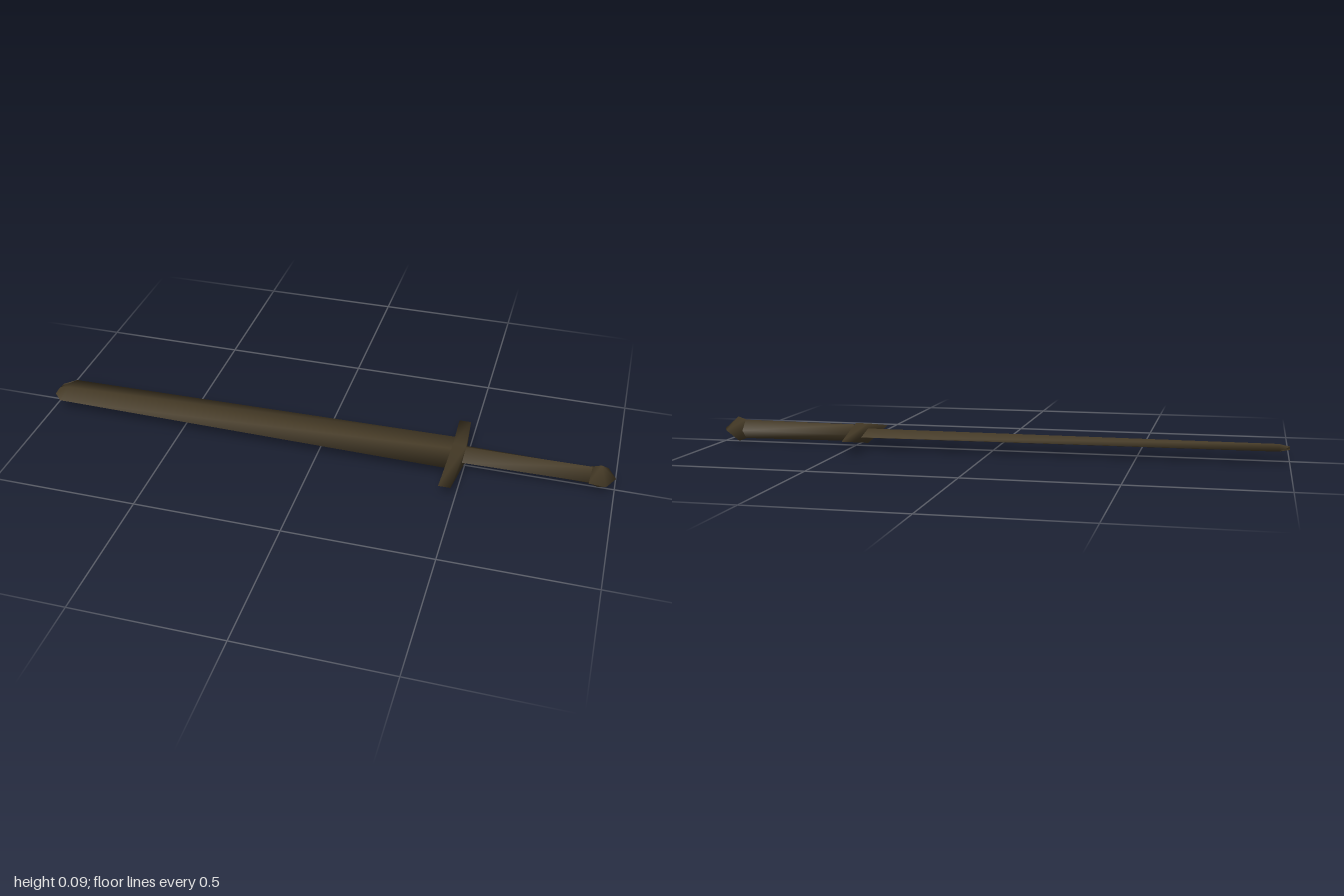
import * as THREE from 'three';

const AXIS_Y = 0.046; // height of the centre line

// Smooth diamond-section body along x.
// Each ring: [x of top/bottom corners, x of side corners, half height, half width]
function diamondLoft(rings, startX, endX) {
  const pos = [], idx = [];
  for (const [xr, xs, h, w] of rings) {
    pos.push(xr, h, 0, xs, 0, w, xr, -h, 0, xs, 0, -w);
  }
  const n = rings.length, start = n * 4, end = start + 1;
  pos.push(startX, 0, 0, endX, 0, 0);
  for (let j = 0; j < 4; j++) {
    const k = (j + 1) % 4;
    for (let i = 0; i < n - 1; i++) {
      const a = i * 4 + j, b = i * 4 + k;
      idx.push(a, b, a + 4, b, b + 4, a + 4);
    }
    const last = (n - 1) * 4;
    idx.push(start, k, j, end, last + j, last + k);
  }
  const g = new THREE.BufferGeometry();
  g.setAttribute('position', new THREE.Float32BufferAttribute(pos, 3));
  g.setIndex(idx);
  g.computeVertexNormals();
  return g;
}

export function createModel() {
  const group = new THREE.Group();
  group.name = 'sword';
  const bronze = new THREE.MeshStandardMaterial({ color: 0x463b27 });
  bronze.name = 'darkBronze';

  const add = (name, rings, startX, endX) => {
    const mesh = new THREE.Mesh(diamondLoft(rings, startX, endX), bronze);
    mesh.name = name;
    mesh.position.y = AXIS_Y;
    group.add(mesh);
  };

  // Long blade with a clipped tip
  add('blade', [
    [-1, -1, 0.004, 0.034],
    [-0.965, -0.965, 0.013, 0.07],
    [0.47, 0.47, 0.017, 0.093],
  ], -1, 0.47);

  // Swept crossguard, pointed at both ends
  add('crossguard', [
    [0.455, 0.444, 0.035, 0.195],
    [0.5, 0.485, 0.035, 0.195],
  ], 0.455, 0.5);

  // Grip, narrowing in width and deepening towards the pommel
  add('grip', [
    [0.49, 0.49, 0.03, 0.05],
    [0.93, 0.93, 0.034, 0.042],
  ], 0.49, 0.93);

  // Faceted pommel with a pointed end
  add('pommel', [
    [0.92, 0.915, 0.035, 0.05],
    [0.948, 0.972, 0.045, 0.053],
  ], 0.92, 1);

  return group;
}
